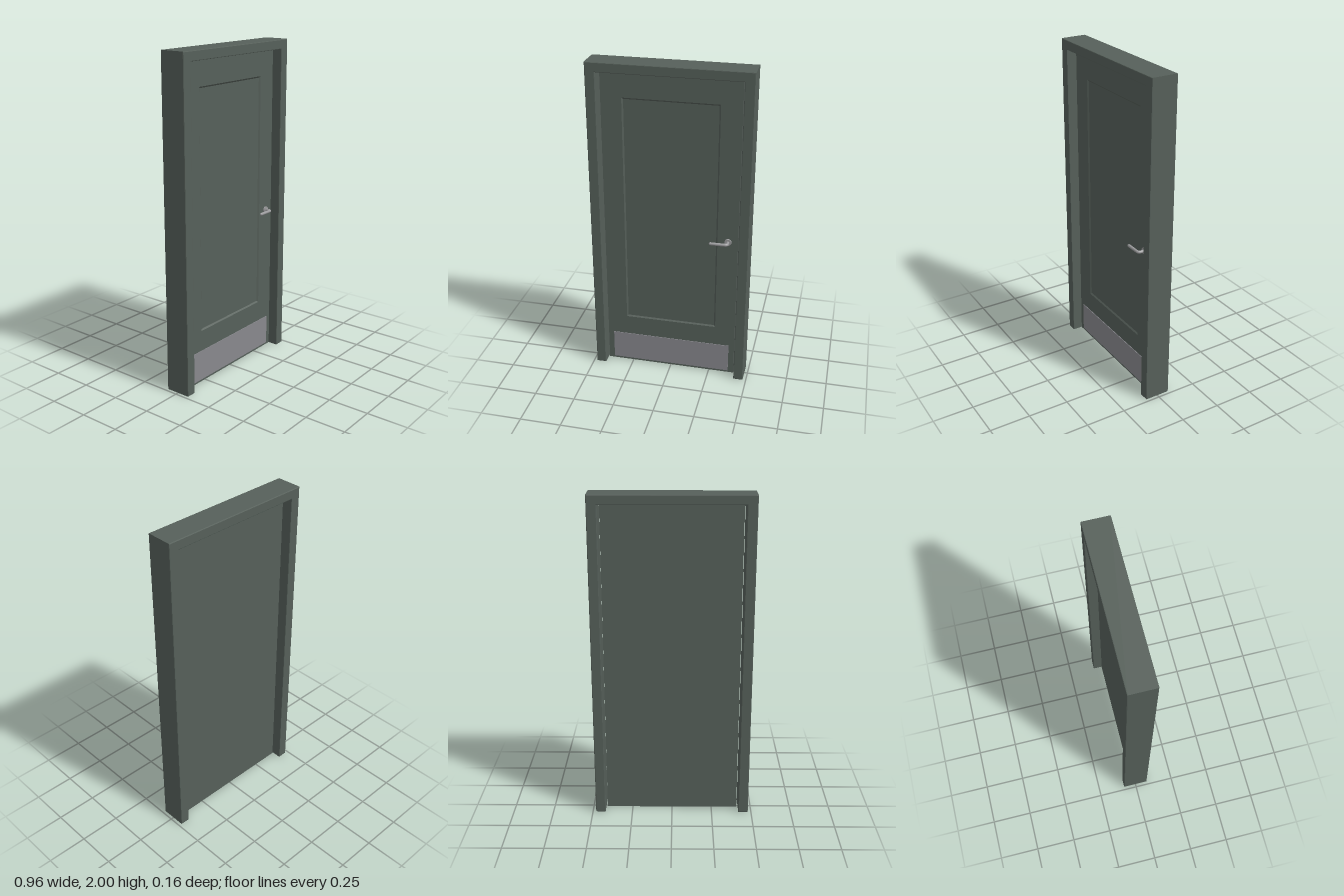
import * as THREE from 'three';

const green = new THREE.MeshStandardMaterial({ color: 0x56605a });
green.name = 'grey green paint';
const steel = new THREE.MeshStandardMaterial({ color: 0x88888d });
steel.name = 'brushed steel';
const chrome = new THREE.MeshStandardMaterial({ color: 0x9a9a9c });
chrome.name = 'handle metal';

const LEAF_FRONT = 0.023;

function add(parent, name, geometry, material, x = 0, y = 0, z = 0) {
  const mesh = new THREE.Mesh(geometry, material);
  mesh.name = name;
  mesh.position.set(x, y, z);
  parent.add(mesh);
  return mesh;
}

// Corners of a rectangle, anticlockwise
const rect = (w, y0, y1) =>
  [[-w, y0], [w, y0], [w, y1], [-w, y1]].map(([x, y]) => new THREE.Vector2(x, y));

// Sloped strip joining two rectangles at different depths
function slopedRing(outer, zOuter, inner, zInner) {
  const positions = [];
  for (let i = 0; i < 4; i++) {
    const j = (i + 1) % 4;
    const a = [outer[i].x, outer[i].y, zOuter], b = [outer[j].x, outer[j].y, zOuter];
    const c = [inner[j].x, inner[j].y, zInner], d = [inner[i].x, inner[i].y, zInner];
    positions.push(...a, ...b, ...c, ...a, ...c, ...d);
  }
  const geometry = new THREE.BufferGeometry();
  geometry.setAttribute('position', new THREE.Float32BufferAttribute(positions, 3));
  geometry.computeVertexNormals();
  return geometry;
}

// Two jambs and a head in one piece with softened edges
function buildFrame(parent) {
  const bevel = 0.004;
  const out = 0.48 - bevel, inn = 0.42 + bevel;
  const top = 2 - bevel, head = 1.943 + bevel;
  const shape = new THREE.Shape([
    [-out, bevel], [-inn, bevel], [-inn, head], [inn, head],
    [inn, bevel], [out, bevel], [out, top], [-out, top],
  ].map(([x, y]) => new THREE.Vector2(x, y)));
  const geometry = new THREE.ExtrudeGeometry(shape, {
    depth: 0.16 - 2 * bevel, bevelEnabled: true,
    bevelSize: bevel, bevelThickness: bevel, bevelSegments: 2,
  });
  add(parent, 'doorFrame', geometry, green, 0, 0, -0.08 + bevel);
}

// Leaf with one shallow sunk panel on its front
function buildLeaf(parent) {
  const leaf = new THREE.Group();
  leaf.name = 'doorLeaf';
  const bottom = 0.006, top = 1.935, sink = 0.007;
  const outer = rect(0.286, 0.335, 1.79);
  const inner = rect(0.277, 0.344, 1.781);
  const coreDepth = 2 * LEAF_FRONT - sink;

  add(leaf, 'leafCore', new THREE.BoxGeometry(0.82, top - bottom, coreDepth), green,
    0, (top + bottom) / 2, -sink / 2);

  const face = new THREE.Shape(rect(0.41, bottom, top));
  face.holes.push(new THREE.Path(outer.slice().reverse()));
  add(leaf, 'leafFace', new THREE.ExtrudeGeometry(face, { depth: sink, bevelEnabled: false }),
    green, 0, 0, LEAF_FRONT - sink);
  add(leaf, 'panelBevel', slopedRing(outer, LEAF_FRONT, inner, LEAF_FRONT - sink), green);

  add(leaf, 'kickPlate', new THREE.BoxGeometry(0.75, 0.187, 0.004), steel,
    0, 0.1135, LEAF_FRONT + 0.002);
  parent.add(leaf);
}

// Round rose with a lever that bends toward the middle of the leaf
function buildHandle(parent) {
  const handle = new THREE.Group();
  handle.name = 'leverHandle';
  handle.position.set(0.35, 0.943, LEAF_FRONT);

  const rose = add(handle, 'rose', new THREE.CylinderGeometry(0.02, 0.021, 0.008, 32), chrome, 0, 0, 0.004);
  rose.rotation.x = Math.PI / 2;

  const r = 0.009, reach = 0.042, bend = 0.014;
  const path = new THREE.CurvePath();
  const v = (x, z) => new THREE.Vector3(x, 0, z);
  path.add(new THREE.LineCurve3(v(0, 0.004), v(0, reach - bend)));
  path.add(new THREE.QuadraticBezierCurve3(v(0, reach - bend), v(0, reach), v(-bend, reach)));
  path.add(new THREE.LineCurve3(v(-bend, reach), v(-0.1, reach)));
  add(handle, 'lever', new THREE.TubeGeometry(path, 40, r, 16), chrome);
  add(handle, 'leverTip', new THREE.SphereGeometry(r, 16, 12), chrome, -0.1, 0, reach);
  parent.add(handle);
}

export function createModel() {
  const door = new THREE.Group();
  door.name = 'door';
  buildFrame(door);
  buildLeaf(door);
  buildHandle(door);
  return door;
}
